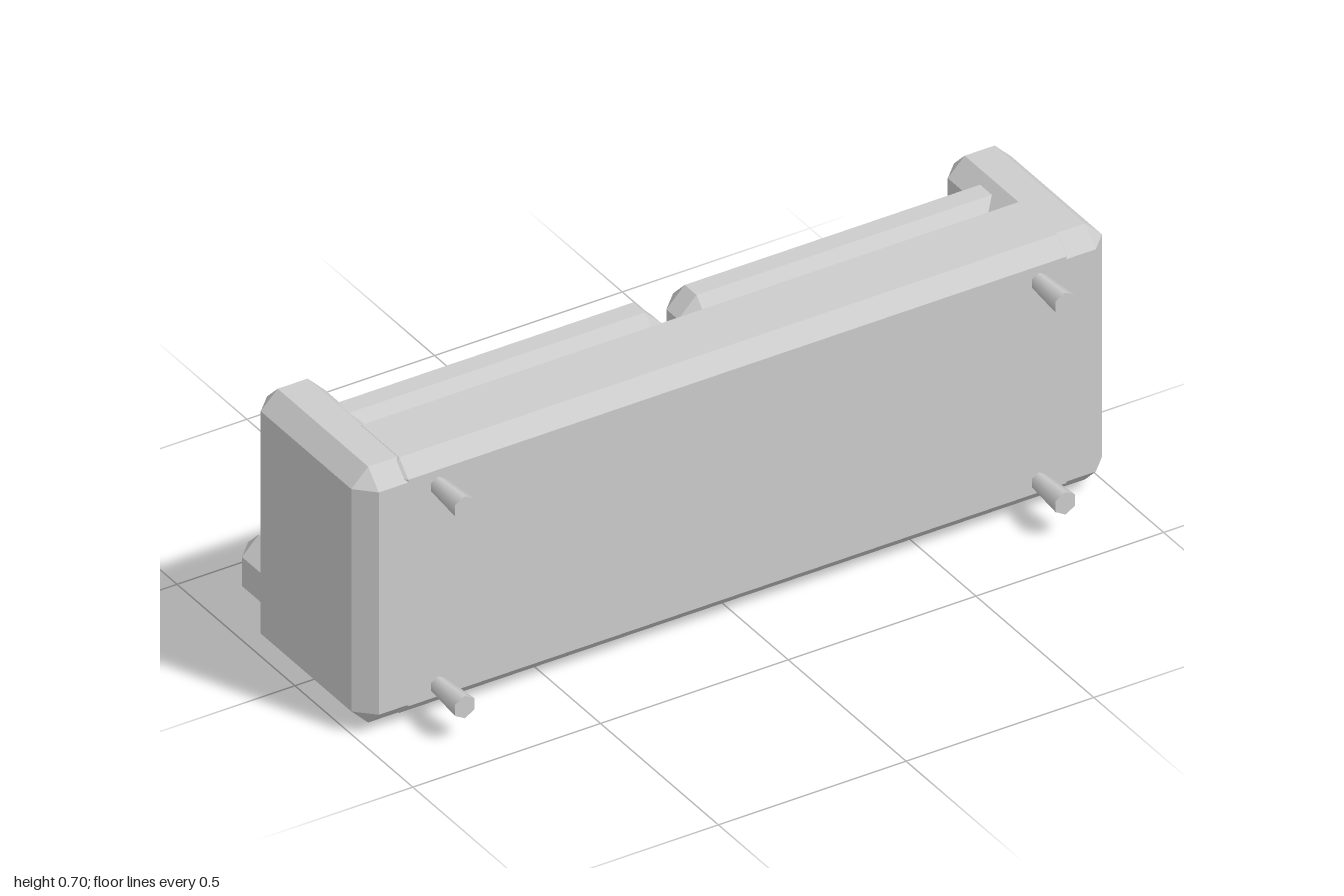
import * as THREE from 'three';
import { ConvexGeometry } from 'three/addons/geometries/ConvexGeometry.js';

// Box between two corners with every edge cut at 45 degrees by c
function chamferBox(min, max, c) {
  const mid = min.map((v, i) => (v + max[i]) / 2);
  const half = min.map((v, i) => (max[i] - v) / 2);
  const points = [];
  for (const sx of [-1, 1]) for (const sy of [-1, 1]) for (const sz of [-1, 1]) {
    const s = [sx, sy, sz];
    // three points per corner, each lying on one main face
    for (let face = 0; face < 3; face++) {
      const p = mid.map((m, i) => m + s[i] * (half[i] - (i === face ? 0 : c)));
      points.push(new THREE.Vector3(...p));
    }
  }
  return new ConvexGeometry(points);
}

export function createModel() {
  const group = new THREE.Group();
  group.name = 'sofa';
  const grey = new THREE.MeshStandardMaterial({ color: 0xcccccc });
  grey.name = 'grey';

  const add = (name, geometry) => {
    const mesh = new THREE.Mesh(geometry, grey);
    mesh.name = name;
    group.add(mesh);
    return mesh;
  };

  // The sofa lies on its back: its underside faces +z, its seat faces -z
  add('base', chamferBox([-0.915, 0.018, 0.046], [0.915, 0.703, 0.284], 0.039));
  add('backrest', chamferBox([-0.917, 0, -0.402], [0.917, 0.168, 0.056], 0.045));

  for (const [side, s] of [['left', 1], ['right', -1]]) {
    // Mirrored parts are given by their inner and outer x
    const mirrored = (name, inner, outer, y0, y1, z0, z1, c) => add(name, chamferBox(
      [Math.min(s * inner, s * outer), y0, z0],
      [Math.max(s * inner, s * outer), y1, z1], c));
    mirrored(side + 'Arm', 0.83, 1, 0.016, 0.702, -0.19, 0.284, 0.045);
    mirrored(side + 'SeatCushion', 0.02, 0.91, 0.08, 0.683, -0.098, 0.05, 0.049);

    // Tapered six-sided legs, wider at the tip
    for (const [end, y] of [['back', 0.093], ['front', 0.628]]) {
      const leg = add(side + end[0].toUpperCase() + end.slice(1) + 'Leg',
        new THREE.CylinderGeometry(0.03, 0.022, 0.112, 6));
      leg.rotation.x = Math.PI / 2;
      leg.position.set(s * 0.8, y, 0.346);
    }
  }
  return group;
}
